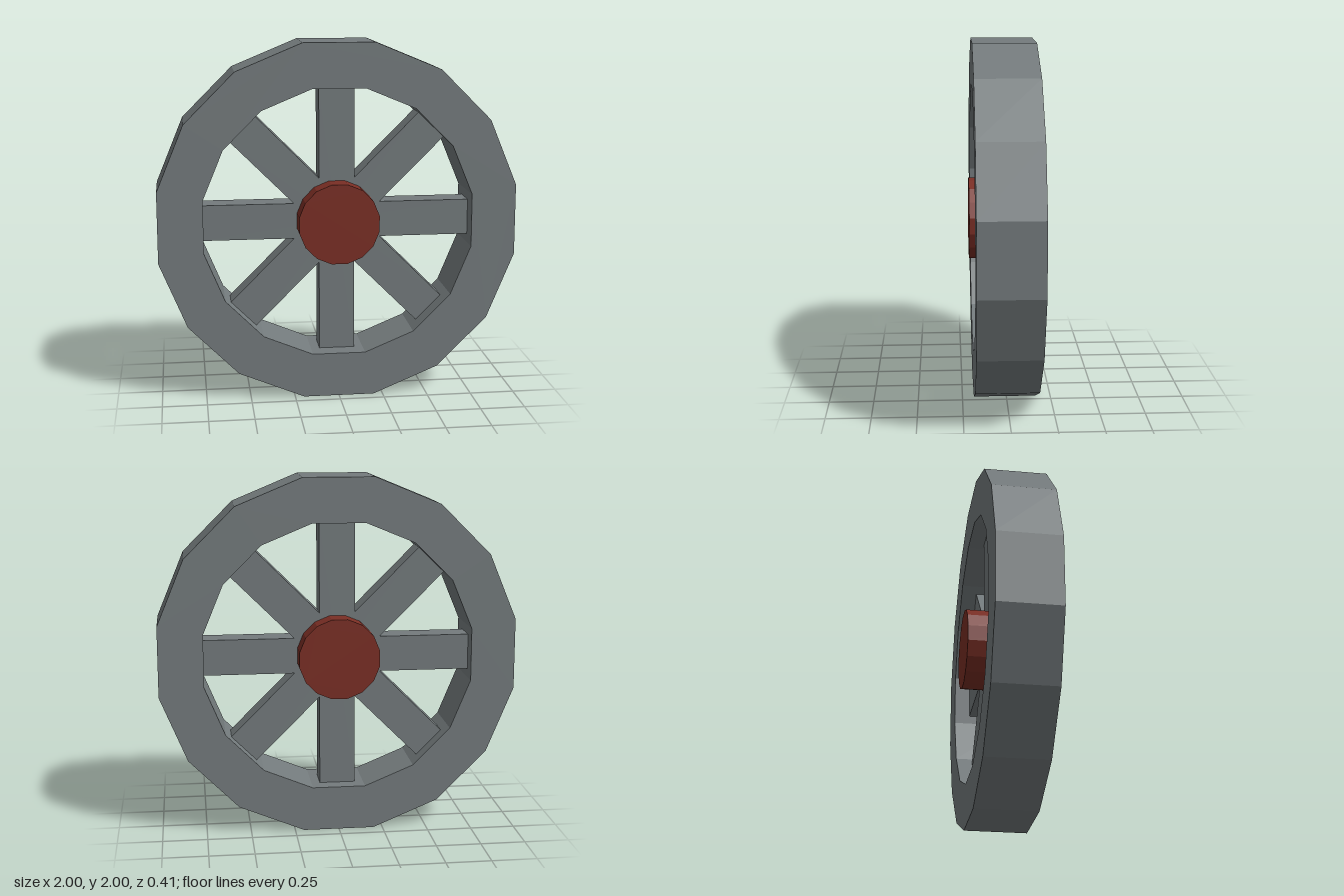
import * as THREE from 'three';

const SIDES = 16;

// Corners of a regular polygon with flats on the axes, given its apothem
function polygon(apothem) {
  const r = apothem / Math.cos(Math.PI / SIDES);
  return Array.from({ length: SIDES }, (_, i) => {
    const a = ((i + 0.5) / SIDES) * Math.PI * 2;
    return new THREE.Vector2(r * Math.cos(a), r * Math.sin(a));
  });
}

// Extrude a shape between two z planes
function slab(shape, back, front) {
  const geometry = new THREE.ExtrudeGeometry(shape, { depth: front - back, bevelEnabled: false });
  return geometry.translate(0, 0, back);
}

export function createModel() {
  const grey = new THREE.MeshStandardMaterial({ color: 0x747b7d, flatShading: true });
  grey.name = 'greyMetal';
  const red = new THREE.MeshStandardMaterial({ color: 0x7a2e24, flatShading: true });
  red.name = 'rustRed';

  const wheel = new THREE.Group();
  wheel.name = 'wheel';
  const add = (name, geometry, material) => {
    const mesh = new THREE.Mesh(geometry, material);
    mesh.name = name;
    wheel.add(mesh);
    return mesh;
  };

  // Rim: a faceted ring set slightly forward of the hub centre
  const ring = new THREE.Shape(polygon(1));
  ring.holes.push(new THREE.Path(polygon(0.75)));
  add('rim', slab(ring, -0.165, 0.185), grey);

  // Spokes: four bars crossing the full diameter
  for (let i = 0; i < 4; i++) {
    const bar = add('spokePair' + (i + 1), new THREE.BoxGeometry(1.505, 0.2, 0.15), grey);
    bar.rotation.z = (i * Math.PI) / 4;
  }

  // Hub: runs through the wheel and stands out at both ends
  add('hub', slab(new THREE.Shape(polygon(0.224)), -0.205, 0.205), red);

  wheel.position.y = 1;
  const model = new THREE.Group();
  model.name = 'spokedWheel';
  model.add(wheel);
  return model;
}
